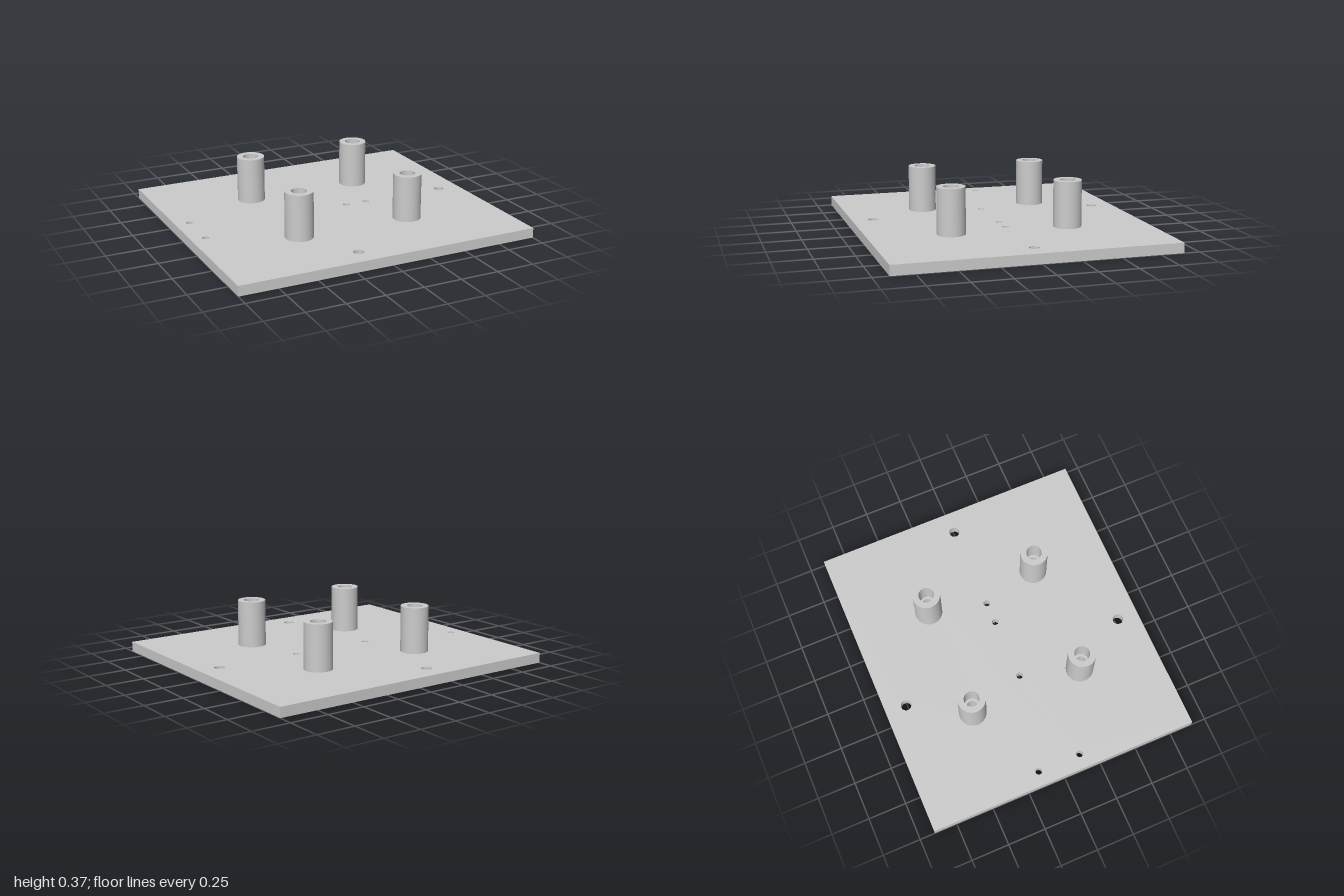
import * as THREE from 'three';
import { toCreasedNormals } from 'three/addons/utils/BufferGeometryUtils.js';

const THICK = 0.065, TOP = 0.365, POST = 0.38;
const SINK = 0.066, HOLE = 0.033, BORE = 0.05, OUTER = 0.09;

export function createModel() {
  const model = new THREE.Group();
  model.name = 'mountingPlate';
  const material = new THREE.MeshStandardMaterial({ color: 0xcccccc });

  const add = (name, geometry, x = 0, z = 0) => {
    const mesh = new THREE.Mesh(toCreasedNormals(geometry, 0.5), material);
    mesh.name = name;
    mesh.position.set(x, 0, z);
    model.add(mesh);
  };

  const posts = [[-POST, -POST], [POST, -POST], [-POST, POST], [POST, POST]];

  // Plate outline with its drilled holes
  const outline = new THREE.Shape([
    new THREE.Vector2(-1, -0.9), new THREE.Vector2(1, -0.9),
    new THREE.Vector2(1, 0.9), new THREE.Vector2(-1, 0.9),
  ]);
  const drill = (x, z, r) =>
    outline.holes.push(new THREE.Path().absarc(x, -z, r, 0, Math.PI * 2, true));

  for (const [x, z] of posts) drill(x, z, SINK);
  for (const [x, z] of [[-0.165, -0.76], [-0.165, 0.76], [0.855, 0]]) drill(x, z, 0.034);
  for (const [x, z] of [[-0.905, -0.143], [-0.905, 0.143], [-0.27, 0], [0.14, 0], [0.285, 0]])
    drill(x, z, 0.022);

  const plate = new THREE.ExtrudeGeometry(outline, { depth: THICK, bevelEnabled: false, curveSegments: 24 });
  plate.rotateX(-Math.PI / 2);
  add('plate', plate);

  // Hollow standoff: outer wall, rim, wide bore, through hole and countersink below
  const profile = [
    [OUTER, THICK], [OUTER, TOP], [BORE, TOP], [BORE, 0.215],
    [HOLE, 0.215], [HOLE, 0.033], [SINK, 0],
  ].map(([r, y]) => new THREE.Vector2(r, y));
  posts.forEach(([x, z], i) => add(`standoff${i + 1}`, new THREE.LatheGeometry(profile, 48), x, z));

  return model;
}
